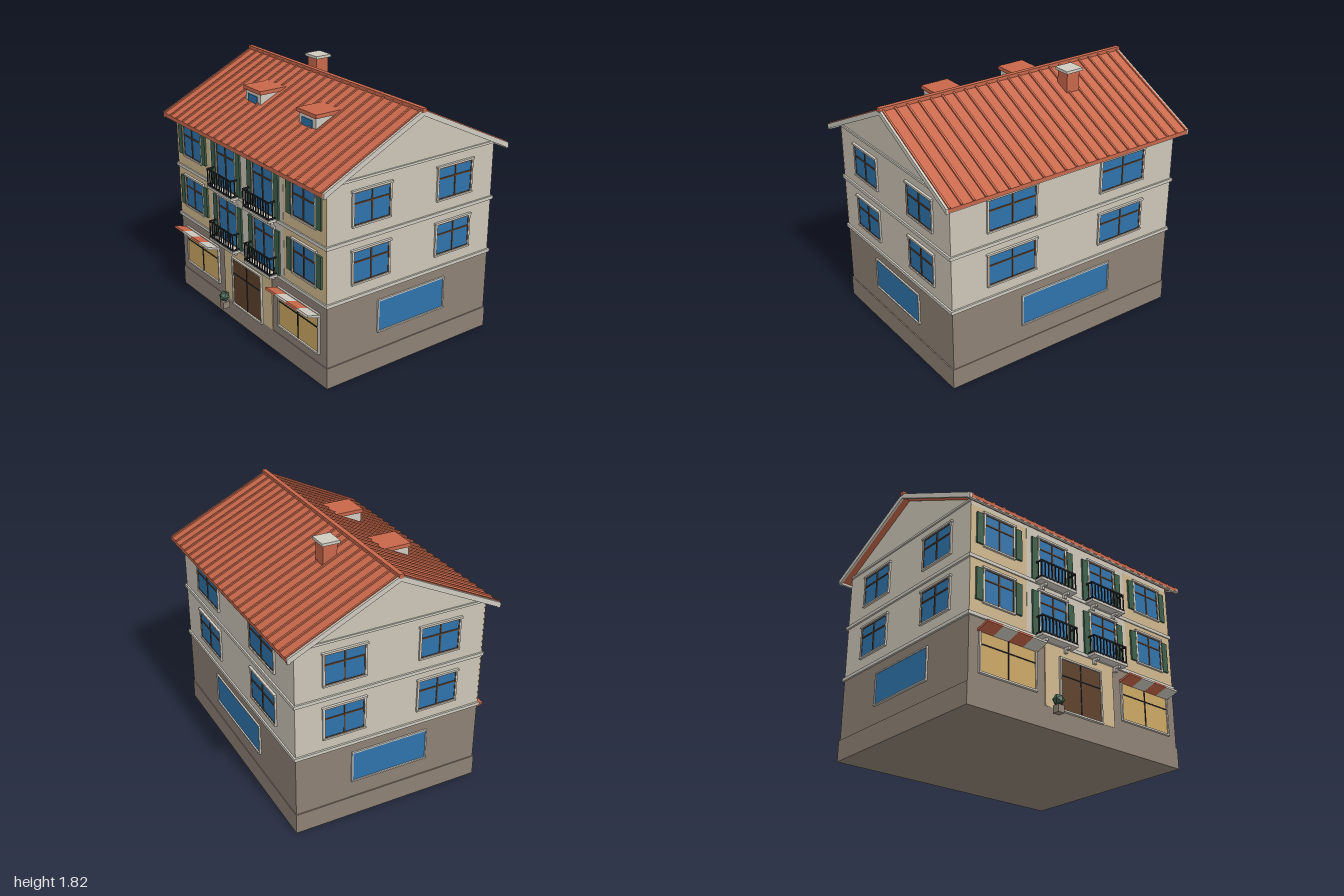
import * as THREE from 'three';

const mat = (name, color) => {
  const m = new THREE.MeshStandardMaterial({ color, flatShading: true });
  m.name = name;
  return m;
};

export function createModel() {
  const wall = mat('creamWall', 0xcdc5b7), trim = mat('paleTrim', 0xcfcac0);
  const stone = mat('brownStone', 0x8e8175), tan = mat('tanPlaster', 0xcfb78d);
  const tile = mat('redTile', 0xc7674a), glass = mat('blueGlass', 0x2f73ab);
  const green = mat('green', 0x3d5f4a), wood = mat('brownWood', 0x5f412b);
  const iron = mat('blackIron', 0x23262b), gold = mat('warmGlass', 0xcca764);

  const house = new THREE.Group();
  house.name = 'townHouse';
  const group = (name, x = 0, y = 0, z = 0, ry = 0, parent = house) => {
    const g = new THREE.Group();
    g.name = name;
    g.position.set(x, y, z);
    g.rotation.y = ry;
    parent.add(g);
    return g;
  };
  // box given by its limits on each axis
  const box = (p, name, m, x0, x1, y0, y1, z0, z1) => {
    const b = new THREE.Mesh(new THREE.BoxGeometry(x1 - x0, y1 - y0, z1 - z0), m);
    b.position.set((x0 + x1) / 2, (y0 + y1) / 2, (z0 + z1) / 2);
    b.name = name;
    p.add(b);
    return b;
  };
  // (z, y) outline extruded along x
  const prism = (p, name, m, pts, x0, x1) => {
    const s = new THREE.Shape(pts.map(([z, y]) => new THREE.Vector2(-z, y)));
    const g = new THREE.ExtrudeGeometry(s, { depth: x1 - x0, bevelEnabled: false });
    g.rotateY(Math.PI / 2);
    g.translate(x0, 0, 0);
    const b = new THREE.Mesh(g, m);
    b.name = name;
    p.add(b);
  };

  const F = 0.68, B = -0.715, C = -0.0175, W = 0.927;

  // walls
  box(house, 'plinth', stone, -0.935, 0.935, 0, 0.15, B - 0.005, F + 0.005);
  box(house, 'groundFloor', stone, -W, W, 0.15, 0.6, B, F);
  prism(house, 'upperFloors', wall, [[F, 0.6], [F, 1.405], [C, 1.74], [B, 1.405], [B, 0.6]], -W, W);
  for (const y of [0.6, 1.0]) box(house, 'floorBand', trim, -0.94, 0.94, y - 0.012, y + 0.012, B - 0.012, F + 0.012);
  for (const s of [-1, 1]) {
    box(house, 'gableCornice', trim, s * 0.93 - 0.007, s * 0.93 + 0.007, 1.398, 1.414, B + 0.01, F - 0.01);
    box(house, 'tanFacade', tan, s * 0.694 - 0.234, s * 0.694 + 0.234, 0.6, 1.375, F - 0.004, F + 0.003);
  }
  box(house, 'centreFacade', wall, -0.46, 0.46, 0.6, 1.375, F - 0.004, F + 0.004);
  box(house, 'entranceSurround', tan, -0.31, 0.31, 0.15, 0.59, F - 0.004, F + 0.006);

  // roof: two sloped halves, edge boards, gutters, ribs, ridge
  const half = 0.77, rise = 0.372, top = 1.768, eave = top - rise;
  const len = Math.hypot(half, rise), angle = Math.atan2(rise, half);
  for (const s of [1, -1]) {
    const z = C + s * half;
    const slope = (t, drop = 0) => [[C, t], [z, t - rise], [z, t - rise - drop], [C, t - drop]];
    prism(house, 'roofSlope', tile, s > 0 ? slope(top, 0.025).reverse() : slope(top, 0.025), -0.982, 0.982);
    for (const e of [-1, 1]) {
      prism(house, 'bargeBoard', trim, slope(top + 0.004, 0.038), e * 0.986 - 0.008, e * 0.986 + 0.008);
    }
    box(house, 'gutter', trim, -0.993, 0.993, 1.365, eave - 0.002, z - s * 0.012 - 0.009, z - s * 0.012 + 0.009);
    for (let i = -11; i <= 11; i++) {
      const rib = new THREE.Mesh(new THREE.BoxGeometry(0.014, 0.016, len), tile);
      rib.name = 'roofRib';
      rib.position.set(i * 0.0882, top - rise / 2 + 0.002, C + s * half / 2);
      rib.rotation.x = s * angle;
      house.add(rib);
    }
  }
  box(house, 'ridgeCap', tile, -0.998, 0.998, 1.757, 1.785, C - 0.016, C + 0.016);

  // chimney
  box(house, 'chimney', tile, -0.435, -0.33, 1.6, 1.797, -0.26, -0.157);
  box(house, 'chimneyCap', trim, -0.453, -0.313, 1.795, 1.815, -0.275, -0.145);

  // dormers
  for (const x of [-0.328, 0.323]) {
    const d = group('dormer', x);
    box(d, 'dormerBody', trim, -0.095, 0.095, 1.55, 1.648, 0.2, 0.39);
    box(d, 'dormerRoof', tile, -0.108, 0.108, 1.646, 1.673, 0.185, 0.4);
    box(d, 'dormerGlass', glass, -0.057, 0.057, 1.565, 1.622, 0.389, 0.396);
  }

  // rectangular frame round an opening, centred on x = 0, base on y = 0
  const frame = (g, w, h, t, depth, sill = true) => {
    for (const s of [-1, 1]) box(g, 'frameSide', trim, s * (w + t) / 2 - t / 2, s * (w + t) / 2 + t / 2, 0, h, 0, depth);
    box(g, 'frameTop', trim, -w / 2 - t, w / 2 + t, h, h + t, 0, depth);
    if (sill) box(g, 'frameSill', trim, -w / 2 - t, w / 2 + t, -t, 0, 0, depth + 0.004);
  };
  const mullions = (g, m, w, h, cross, t) => {
    box(g, 'mullion', m, -t / 2, t / 2, 0, h, 0.003, 0.011);
    box(g, 'transom', m, -w / 2, w / 2, cross - t / 2, cross + t / 2, 0.003, 0.011);
  };
  const makeWindow = (x, y, z, ry, w, h, shutters = false) => {
    const g = group('window', x, y, z, ry);
    box(g, 'pane', glass, -w / 2, w / 2, 0, h, -0.001, 0.006);
    frame(g, w, h, 0.012, 0.012);
    box(g, 'header', trim, -w / 2 - 0.018, w / 2 + 0.018, h + 0.002, h + 0.016, 0, 0.018);
    mullions(g, wood, w, h, h - 0.075, 0.01);
    for (const s of [-1, 1]) {
      box(g, 'sashSide', wood, s * (w / 2 - 0.003) - 0.003, s * (w / 2 - 0.003) + 0.003, 0, h, 0.002, 0.009);
      if (shutters) box(g, 'shutter', green, s * (w / 2 + 0.042) - 0.026, s * (w / 2 + 0.042) + 0.026, 0, h - 0.005, 0, 0.014);
    }
    box(g, 'sashTop', wood, -w / 2, w / 2, h - 0.006, h, 0.002, 0.009);
    box(g, 'sashBottom', wood, -w / 2, w / 2, 0, 0.006, 0.002, 0.009);
  };
  const makeBalcony = (x, y) => {
    const g = group('balcony', x, y, F);
    box(g, 'slab', trim, -0.158, 0.158, -0.012, 0.006, 0, 0.075);
    for (const s of [-1, 1]) {
      box(g, 'bracket', trim, s * 0.1 - 0.01, s * 0.1 + 0.01, -0.03, -0.01, 0, 0.052);
      box(g, 'bracketFoot', trim, s * 0.1 - 0.01, s * 0.1 + 0.01, -0.05, -0.03, 0, 0.026);
      for (const h of [0.015, 0.132]) box(g, 'sideRail', iron, s * 0.153 - 0.004, s * 0.153 + 0.004, h - 0.005, h + 0.005, 0, 0.07);
      for (const z of [0.006, 0.037]) box(g, 'sideBaluster', iron, s * 0.153 - 0.003, s * 0.153 + 0.003, 0.006, 0.13, z - 0.003, z + 0.003);
    }
    for (const h of [0.015, 0.132]) box(g, 'frontRail', iron, -0.157, 0.157, h - 0.005, h + 0.005, 0.064, 0.073);
    for (let i = -5; i <= 5; i++) {
      box(g, 'baluster', iron, i * 0.0306 - 0.0035, i * 0.0306 + 0.0035, 0.006, 0.13, 0.065, 0.072);
    }
  };

  // windows of both upper floors
  for (const y of [0.705, 1.105]) {
    for (const s of [-1, 1]) {
      makeWindow(s * 0.695, y, F + 0.002, 0, 0.24, 0.23, true);
      makeWindow(s * 0.232, y - 0.095, F + 0.002, 0, 0.235, 0.325, true);
      makeBalcony(s * 0.232, y - 0.1);
      for (const z of [0.335, -0.365]) makeWindow(s * W, y - 0.003, z, s * Math.PI / 2, 0.29, 0.22);
      makeWindow(s * 0.46, y - 0.003, B, Math.PI, 0.37, 0.22);
    }
  }

  // wide ground floor windows on the sides and back
  const wide = (x, z, ry, w) => {
    const g = group('wideWindow', x, 0.29, z, ry);
    box(g, 'pane', glass, -w / 2, w / 2, 0, 0.218, -0.001, 0.006);
    frame(g, w, 0.218, 0.01, 0.012);
  };
  wide(W, C, Math.PI / 2, 0.56);
  wide(-W, C, -Math.PI / 2, 0.56);
  wide(0, B, Math.PI, 0.74);

  // shop windows with striped awnings
  for (const s of [-1, 1]) {
    const g = group('shopWindow', s * 0.617, 0.232, F);
    box(g, 'shopPane', gold, -0.222, 0.222, 0, 0.275, -0.001, 0.006);
    frame(g, 0.444, 0.275, 0.012, 0.014);
    mullions(g, iron, 0.444, 0.275, 0.182, 0.007);
    const a = group('awning', s * 0.619, 0.517, 0.733);
    a.rotation.x = -0.3;
    for (let i = 0; i < 4; i++) {
      box(a, 'awningStripe', i % 2 ? trim : tile, -0.242 + i * 0.121, -0.121 + i * 0.121, -0.008, 0.008, -0.053, 0.051);
    }
  }

  // entrance
  const door = group('door', 0, 0.155, F + 0.005);
  box(door, 'doorPanel', wood, -0.177, 0.177, 0, 0.352, -0.001, 0.007);
  frame(door, 0.354, 0.352, 0.012, 0.016);
  mullions(door, iron, 0.354, 0.352, 0.238, 0.007);

  // potted shrub
  const plant = group('plant', -0.246, 0, 0.735);
  box(plant, 'pot', stone, -0.026, 0.026, 0.1, 0.152, -0.026, 0.026);
  const shrub = new THREE.Mesh(new THREE.IcosahedronGeometry(0.041, 0), green);
  shrub.name = 'shrub';
  shrub.position.y = 0.19;
  plant.add(shrub);

  return house;
}
